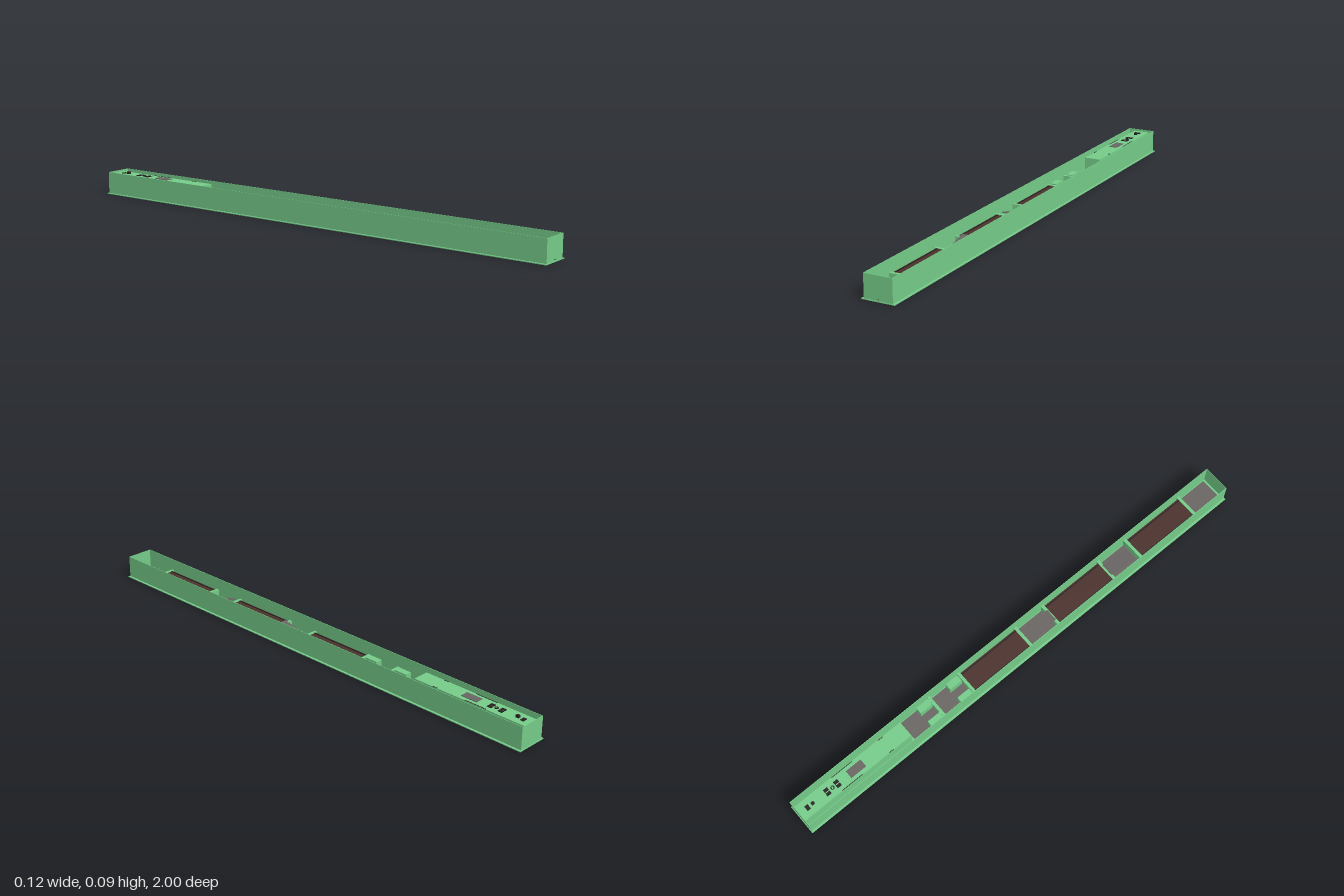
import * as THREE from 'three';

const mat = (name, color, side = THREE.FrontSide) => {
  const m = new THREE.MeshStandardMaterial({ color, side });
  m.name = name;
  return m;
};

export function createModel() {
  const green = mat('green', 0x74ca88);
  const brown = mat('dark brown', 0x4a302b);
  const grey = mat('grey', 0x686462);
  const dark = mat('near black', 0x241f1f);
  const root = new THREE.Group();
  root.name = 'trough';

  // Box given by its extents
  const box = (name, m, x0, x1, y0, y1, z0, z1, parent = root) => {
    const mesh = new THREE.Mesh(new THREE.BoxGeometry(x1 - x0, y1 - y0, z1 - z0), m);
    mesh.position.set((x0 + x1) / 2, (y0 + y1) / 2, (z0 + z1) / 2);
    mesh.name = name;
    parent.add(mesh);
    return mesh;
  };

  // Wide base plate and thin open-topped walls
  const H = 0.088, W = 0.054, T = 0.002;
  box('basePlate', green, -0.062, 0.062, 0, 0.003, -1, 1);
  box('rightWall', green, -W, -W + T, 0.003, H, -0.997, 0.997);
  box('leftWall', green, W - T, W, 0.003, H, -0.997, 0.997);
  box('frontWall', green, -W + T, W - T, 0.003, H, 0.995, 0.997);
  box('backWall', green, -W + T, W - T, 0.003, H, -0.997, -0.995);
  const bolt = new THREE.Mesh(new THREE.CylinderGeometry(0.0015, 0.0015, 0.002, 8), dark);
  bolt.rotation.x = Math.PI / 2;
  bolt.position.set(0, 0.008, 0.998);
  bolt.name = 'frontPin';
  root.add(bolt);

  // Grey floor of the channel
  box('channelFloor', grey, -0.048, 0.048, 0.003, 0.008, -0.51, 0.985);

  // Three raised beds with dark edge rails
  [[-0.23, 0.03], [0.175, 0.438], [0.585, 0.845]].forEach(([z0, z1]) => {
    const bed = new THREE.Group();
    bed.name = 'raisedBed';
    root.add(bed);
    box('bedSurface', brown, -0.046, 0.046, 0.008, 0.04, z0, z1, bed);
    for (const s of [-1, 1])
      box('bedRail', dark, s * 0.039 - 0.002, s * 0.039 + 0.002, 0.04, 0.042, z0, z1, bed);
  });

  // Cross partitions at the bed ends
  for (const z of [-0.376, -0.236, 0.036, 0.169, 0.444, 0.579, 0.851])
    box('partition', green, -W + T, W - T, 0.003, 0.042, z - 0.006, z + 0.006);

  // Tilted plates leading up to the middle bed
  for (const [zLow, zHigh] of [[0.05, 0.169], [0.56, 0.444]]) {
    const dy = 0.027, dz = zHigh - zLow;
    const ramp = new THREE.Mesh(
      new THREE.BoxGeometry(0.05, 0.003, Math.hypot(dy, dz)), grey);
    ramp.position.set(0, 0.024 + dy / 2, (zLow + zHigh) / 2);
    ramp.rotation.x = -Math.atan(dy / dz);
    ramp.name = 'ramp';
    root.add(ramp);
  }

  // Paired pads between the first partitions
  for (const z of [-0.41, -0.272])
    for (const s of [-1, 1])
      box('pad', green, s * 0.033 - 0.013, s * 0.033 + 0.013, 0.008, 0.045, z - 0.027, z + 0.027);

  // Control housing at the back, standing on a low ledge
  box('housingLedge', green, -W + T, W - T, 0.003, 0.012, -0.995, -0.51);
  box('housing', green, -0.032, 0.032, 0.012, 0.08, -0.995, -0.52);

  // Deck details
  const plate = (name, m, x, z, w, d, h = 0.002) =>
    box(name, m, x - w / 2, x + w / 2, 0.08, 0.08 + h, z - d / 2, z + d / 2);
  plate('displayPanel', grey, 0, -0.745, 0.032, 0.066);
  for (const z of [-0.873, -0.828])
    for (const s of [-1, 1]) plate('button', dark, s * 0.008, z, 0.012, 0.018);
  const ring = new THREE.Mesh(new THREE.TorusGeometry(0.006, 0.0018, 6, 16), dark);
  ring.rotation.x = Math.PI / 2;
  ring.position.set(0, 0.081, -0.85);
  ring.name = 'dialRing';
  root.add(ring);
  plate('switchPlate', dark, 0, -0.96, 0.02, 0.014);
  plate('switchKnob', dark, 0, -0.937, 0.01, 0.012, 0.009);
  for (const s of [-1, 1]) {
    plate('longSlot', dark, s * 0.0305, -0.785, 0.002, 0.09, 0.001);
    plate('shortSlot', dark, s * 0.0305, -0.61, 0.002, 0.02, 0.001);
  }
  return root;
}
